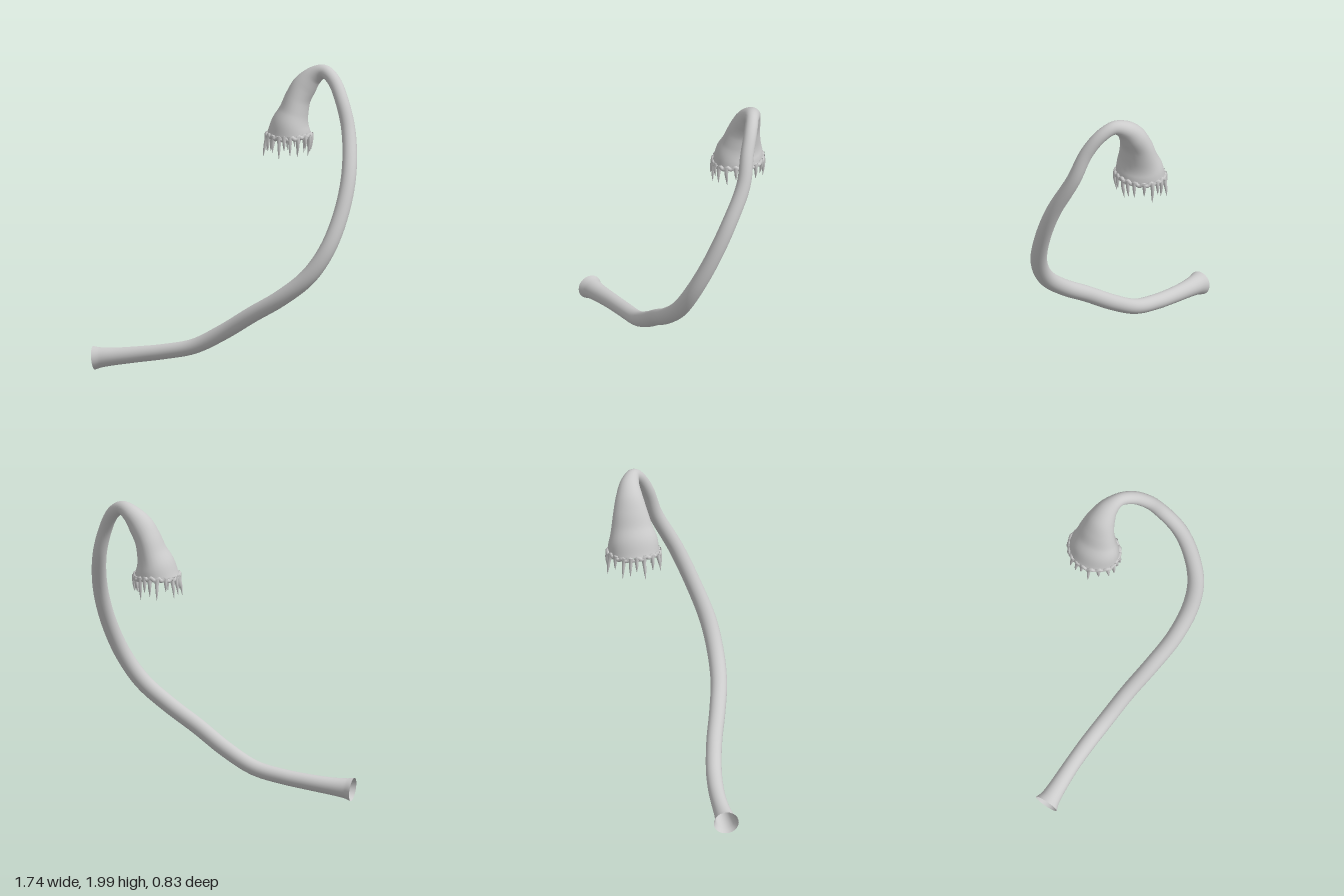
import * as THREE from 'three';

const material = new THREE.MeshStandardMaterial({ color: 0xcccccc, side: THREE.DoubleSide });

// Smooth skin through rows of [x, y, z, radius towards z, radius across]
function loft(rows, steps, sides) {
  const path = new THREE.CatmullRomCurve3(rows.map(r => new THREE.Vector3(r[0], r[1], r[2])));
  const size = new THREE.CatmullRomCurve3(rows.map(r => new THREE.Vector3(r[3], r[4] ?? r[3], 0)), false, 'catmullrom');
  const pos = [], index = [];
  for (let i = 0; i <= steps; i++) {
    const c = path.getPoint(i / steps), s = size.getPoint(i / steps);
    const t = path.getTangent(i / steps);
    const u = new THREE.Vector3(0, 0, 1).addScaledVector(t, -t.z).normalize();
    const v = t.clone().cross(u);
    for (let j = 0; j < sides; j++) {
      const a = (j / sides) * Math.PI * 2;
      const p = c.clone().addScaledVector(u, s.x * Math.cos(a)).addScaledVector(v, s.y * Math.sin(a));
      pos.push(p.x, p.y, p.z);
      if (i < steps) {
        const k = i * sides + j, n = i * sides + (j + 1) % sides;
        index.push(k, n, k + sides, n, n + sides, k + sides);
      }
    }
  }
  const g = new THREE.BufferGeometry();
  g.setAttribute('position', new THREE.Float32BufferAttribute(pos, 3));
  g.setIndex(index);
  g.computeVertexNormals();
  return g;
}

// Point on the oval mouth rim at angle a
const rimPoint = (a, y, k = 1) =>
  new THREE.Vector3(0.36 + 0.142 * k * Math.cos(a), y, -0.23 + 0.168 * k * Math.sin(a));

export function createModel() {
  const model = new THREE.Group();
  const add = (name, geometry, parent = model) => {
    const m = new THREE.Mesh(geometry, material);
    m.name = name;
    parent.add(m);
  };

  // Flared foot and long curling stem
  const stem = [
    [-0.865, 0.085, 0.127, 0.082, 0.077],
    [-0.82, 0.09, 0.13, 0.066],
    [-0.72, 0.1, 0.133, 0.057],
    [-0.56, 0.12, 0.14, 0.052],
    [-0.4, 0.143, 0.155, 0.052, 0.05],
    [-0.2, 0.187, 0.185, 0.052, 0.05],
    [0, 0.292, 0.23, 0.052],
    [0.2, 0.422, 0.293, 0.053],
    [0.4, 0.545, 0.345, 0.054],
    [0.58, 0.69, 0.36, 0.055],
    [0.7, 0.865, 0.335, 0.055, 0.053],
    [0.78, 1.09, 0.255, 0.052, 0.051],
    [0.815, 1.34, 0.145, 0.05, 0.049],
    [0.79, 1.6, 0.005, 0.047, 0.046],
    [0.735, 1.79, -0.06, 0.044],
    [0.67, 1.91, -0.13, 0.043],
    [0.6, 1.956, -0.185, 0.045],
  ];
  // Neck swelling into the hanging bell
  const bell = [
    [0.53, 1.925, -0.22, 0.066, 0.06],
    [0.465, 1.855, -0.235, 0.092, 0.08],
    [0.418, 1.77, -0.238, 0.116, 0.085],
    [0.39, 1.68, -0.235, 0.138, 0.098],
    [0.368, 1.6, -0.231, 0.162, 0.125],
    [0.36, 1.525, -0.23, 0.17, 0.145],
  ];
  add('stemAndBell', loft([...stem, ...bell], 132, 24));

  // Hollow inside of the mouth
  add('throat', loft([
    [0.425, 1.8, -0.238, 0.005, 0.005],
    [0.418, 1.77, -0.238, 0.075, 0.055],
    [0.39, 1.68, -0.235, 0.118, 0.08],
    [0.368, 1.6, -0.231, 0.145, 0.108],
    [0.36, 1.525, -0.23, 0.158, 0.132],
  ], 16, 24));

  // Uneven fleshy lip
  const count = 20, lipPoints = [];
  for (let i = 0; i < count * 3; i++) {
    const a = (i / (count * 3)) * Math.PI * 2;
    lipPoints.push(rimPoint(a, 1.528 + 0.009 * Math.cos(a * count) + 0.006 * Math.sin(a * 3), 1 + 0.02 * Math.sin(a * 7)));
  }
  add('lip', new THREE.TubeGeometry(new THREE.CatmullRomCurve3(lipPoints, true), 120, 0.014, 8, true));

  // Ring of thin curved fangs, broad at the root
  const fangs = new THREE.Group();
  fangs.name = 'fangs';
  for (let i = 0; i < count; i++) {
    const a = ((i + 0.25 * Math.sin(i * 5.1)) / count) * Math.PI * 2;
    const length = 0.115 + 0.03 * Math.sin(i * 2.3);
    const flare = 1.04 + 0.05 * Math.sin(i * 3.7) - 0.08 * Math.cos(a);
    const row = (drop, k, r) => [...rimPoint(a, 1.535 - drop, k).toArray(), r];
    add('fang', loft([
      row(0, 0.98, 0.02),
      row(length * 0.25, 1.03, 0.013),
      row(length * 0.6, (1.05 + flare) / 2, 0.009),
      row(length, flare, 0.001),
    ], 8, 8), fangs);
  }
  model.add(fangs);
  return model;
}
